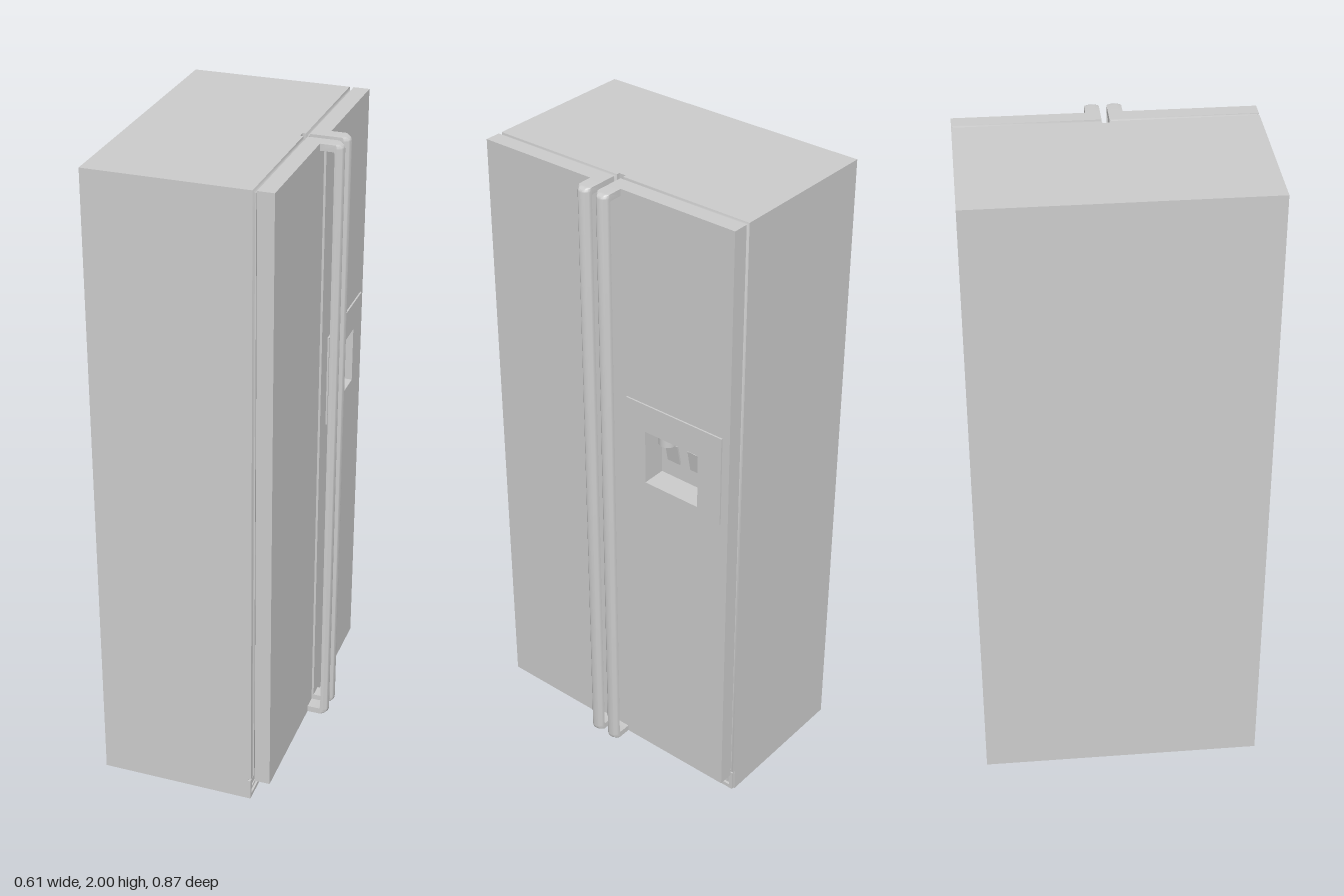
import * as THREE from 'three';
import { toCreasedNormals } from 'three/addons/utils/BufferGeometryUtils.js';

const material = new THREE.MeshStandardMaterial({ color: 0xcccccc });

function add(parent, name, geometry, x = 0, y = 0, z = 0) {
  const mesh = new THREE.Mesh(geometry, material);
  mesh.name = name;
  mesh.position.set(x, y, z);
  parent.add(mesh);
  return mesh;
}

// Box given by its limits on each axis
function block(parent, name, x0, x1, y0, y1, z0, z1) {
  return add(parent, name, new THREE.BoxGeometry(x1 - x0, y1 - y0, z1 - z0),
    (x0 + x1) / 2, (y0 + y1) / 2, (z0 + z1) / 2);
}

function trace(path, [z0, z1, y0, y1]) {
  path.moveTo(-z1, y0);
  path.lineTo(-z0, y0);
  path.lineTo(-z0, y1);
  path.lineTo(-z1, y1);
  path.closePath();
  return path;
}

// Slab in the z-y plane from x0 to x1, with an optional rectangular hole
function slab(x0, x1, rect, hole, steps = 1) {
  const shape = trace(new THREE.Shape(), rect);
  if (hole) shape.holes.push(trace(new THREE.Path(), hole));
  const g = new THREE.ExtrudeGeometry(shape, { depth: x1 - x0, steps, bevelEnabled: false });
  return g.rotateY(Math.PI / 2).translate(x0, 0, 0);
}

// Seal behind a door, with a rounded groove around its rim
function sealGeometry(x0, x1, rect, hole) {
  const g = slab(x0, x1, rect, hole, 16);
  const p = g.attributes.position;
  const [z0, z1, y0, y1] = rect;
  const e = 1e-4;
  for (let i = 0; i < p.count; i++) {
    const t = ((p.getX(i) - x0) / (x1 - x0) - 0.45) / 0.55;
    const inset = t > 0 && t < 1 ? 0.01 * Math.sin(Math.PI * t) : 0;
    const y = p.getY(i), z = p.getZ(i);
    if (Math.abs(y - y0) < e) p.setY(i, y + inset);
    if (Math.abs(y - y1) < e) p.setY(i, y - inset);
    if (Math.abs(z - z0) < e) p.setZ(i, z + inset);
    if (Math.abs(z - z1) < e) p.setZ(i, z - inset);
  }
  return toCreasedNormals(g, 0.7);
}

// Tall bracket handle whose outer face is rounded across its width
function handleGeometry(width) {
  const x0 = 0.236, x1 = 0.303, xi = 0.28, y0 = 0.075, y1 = 2, t = 0.02, r = 0.018;
  const s = new THREE.Shape();
  s.moveTo(x0, y0);
  s.lineTo(x1 - r, y0);
  s.quadraticCurveTo(x1, y0, x1, y0 + r);
  s.lineTo(x1, y1 - r);
  s.quadraticCurveTo(x1, y1, x1 - r, y1);
  s.lineTo(x0, y1);
  s.lineTo(x0, y1 - t);
  s.lineTo(xi - 0.006, y1 - t);
  s.quadraticCurveTo(xi, y1 - t, xi, y1 - t - 0.006);
  s.lineTo(xi, y0 + t + 0.006);
  s.quadraticCurveTo(xi, y0 + t, xi - 0.006, y0 + t);
  s.lineTo(x0, y0 + t);
  s.closePath();
  const g = new THREE.ExtrudeGeometry(s, { depth: width, steps: 20, curveSegments: 6, bevelEnabled: false });
  g.translate(0, 0, -width / 2);
  const p = g.attributes.position;
  for (let i = 0; i < p.count; i++) {
    const over = p.getX(i) - xi;
    if (over <= 0) continue;
    // Even angular spacing across the width keeps the rounded edge smooth
    const a = (p.getZ(i) / width) * Math.PI;
    p.setX(i, xi + over * Math.max(Math.cos(a), 0.02));
  }
  for (let i = 0; i < p.count; i++) {
    p.setZ(i, (width / 2) * Math.sin((p.getZ(i) / width) * Math.PI));
  }
  return toCreasedNormals(g, 0.6);
}

export function createModel() {
  const model = new THREE.Group();
  model.name = 'refrigerator';

  block(model, 'cabinet', -0.305, 0.168, 0, 2, -0.433, 0.433);

  const recess = [-0.327, -0.137, 1.095, 1.27];
  const sides = [
    { name: 'fridge', z0: 0.01, z1: 0.433, handleZ: 0.031, hole: null },
    { name: 'freezer', z0: -0.433, z1: -0.012, handleZ: -0.033, hole: recess },
  ];

  for (const { name, z0, z1, handleZ, hole } of sides) {
    // Door with seal and handle
    const door = new THREE.Group();
    door.name = name + 'Door';
    model.add(door);
    const rect = [z0, z1, 0.075, 2];
    add(door, name + 'DoorSeal', sealGeometry(0.168, 0.19, rect, hole));
    add(door, name + 'DoorPanel', slab(0.19, 0.238, rect, hole));
    add(door, name + 'Handle', handleGeometry(0.042), 0, 0, handleZ);

    // Base grille: outer frame, recessed back and a slotted insert
    const grille = new THREE.Group();
    grille.name = name + 'Grille';
    model.add(grille);
    add(grille, 'grilleFrame', slab(0.16, 0.176, [z0 + 0.004, z1, 0, 0.068],
      [z0 + 0.016, z1 - 0.012, 0.013, 0.056]));
    add(grille, 'grilleInsert', slab(0.16, 0.172, [z0 + 0.024, z1 - 0.02, 0.02, 0.049],
      [z0 + 0.032, z1 - 0.028, 0.028, 0.041]));
  }

  // Dispenser set into the freezer door
  const dispenser = new THREE.Group();
  dispenser.name = 'dispenser';
  model.add(dispenser);
  add(dispenser, 'dispenserFrame', slab(0.238, 0.243, [-0.408, -0.068, 1.07, 1.36], recess));
  add(dispenser, 'iceChute', new THREE.CylinderGeometry(0.026, 0.026, 0.036, 32), 0.206, 1.253, -0.189);
  add(dispenser, 'waterNozzle', new THREE.CylinderGeometry(0.006, 0.006, 0.022, 16), 0.206, 1.26, -0.273);
  for (const z of [-0.19, -0.273]) {
    const paddle = add(dispenser, 'paddle', new THREE.BoxGeometry(0.005, 0.072, 0.046), 0.183, 1.19, z);
    paddle.rotation.z = -0.2;
  }

  return model;
}
